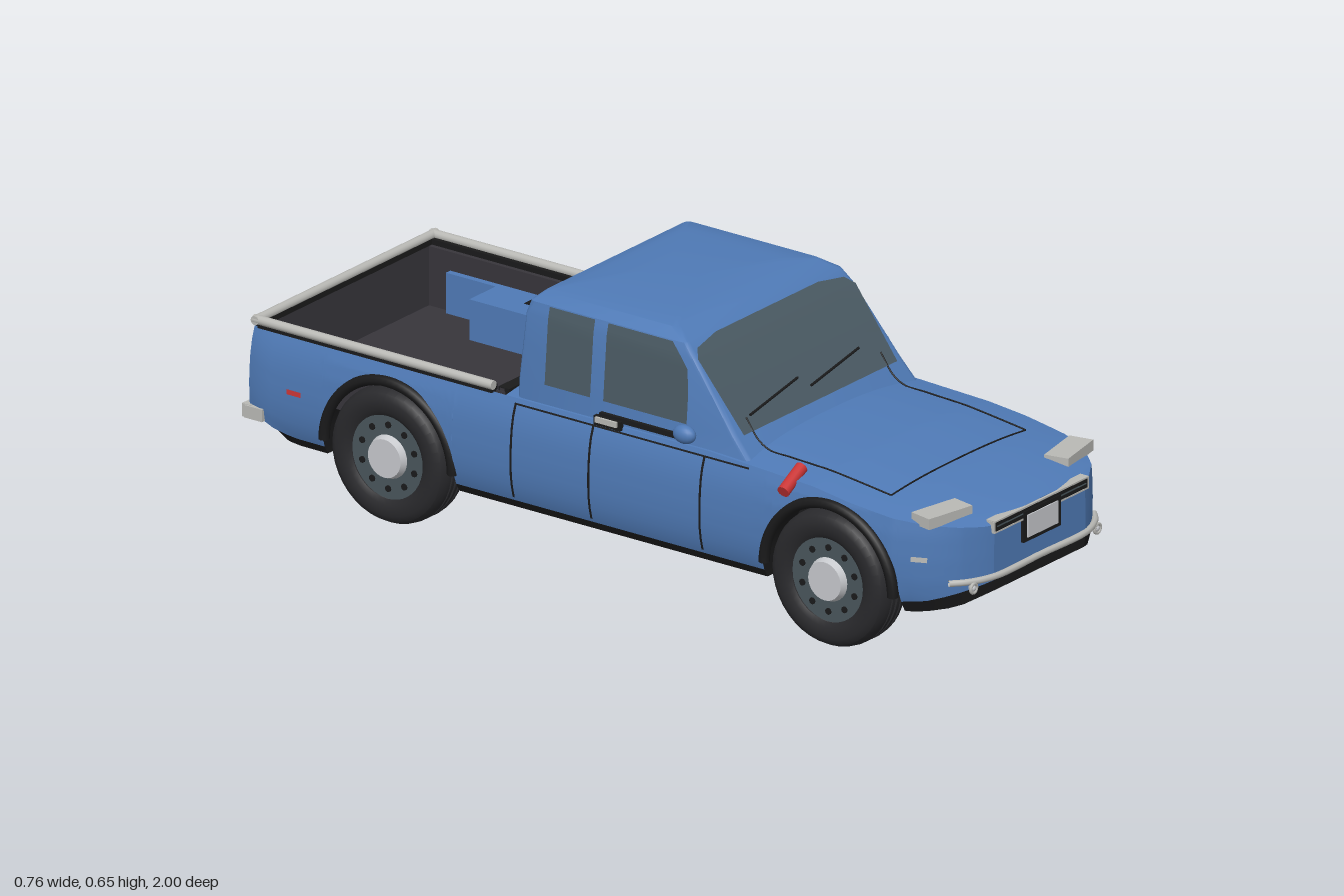
import * as THREE from 'three';
import { toCreasedNormals } from 'three/addons/utils/BufferGeometryUtils.js';

const mat = (name, color) => new THREE.MeshStandardMaterial({ name, color, side: THREE.DoubleSide });
const blue = mat('bodyBlue', 0x4f7ab6), glass = mat('glass', 0x4a5a63), black = mat('black', 0x1a1a1b);
const rubber = mat('tyreRubber', 0x29292c), liner = mat('bedLiner', 0x37353b), trim = mat('lightTrim', 0xb9b9b5);
const steel = mat('wheelSteel', 0x49565c), white = mat('plateGrey', 0xc6c8cc), red = mat('red', 0xc93434);

// piecewise linear lookup
function at(t, table) {
  if (t <= table[0][0]) return table[0][1];
  for (let i = 1; i < table.length; i++) {
    const [a, va] = table[i - 1], [b, vb] = table[i];
    if (t <= b) return va + (vb - va) * (t - a) / (b - a);
  }
  return table[table.length - 1][1];
}

// surface through rows of [x, y, z] points
function sheet(rows, crease = 0.6) {
  const n = rows[0].length, index = [];
  for (let i = 0; i < rows.length - 1; i++) for (let j = 0; j < n - 1; j++) {
    const a = i * n + j, b = a + n;
    index.push(a, b, a + 1, b, b + 1, a + 1);
  }
  const g = new THREE.BufferGeometry();
  g.setAttribute('position', new THREE.Float32BufferAttribute(rows.flat(2), 3));
  g.setIndex(index);
  g.computeVertexNormals();
  return toCreasedNormals(g, crease);
}
const steps = (a, b, n) => Array.from({ length: n + 1 }, (_, i) => a + (b - a) * i / n);

// body dimensions along z and y
const ARCH = 0.185, AXLE_Y = 0.163, AXLES = [0.65, -0.59], NOSE = 0.99, TAIL = -0.985;
const widthAt = z => at(z, [[TAIL, .333], [-.95, .342], [-.6, .346], [.7, .346], [.82, .332], [.9, .297], [.95, .25], [.98, .2], [NOSE, .17]]);
const fullness = y => at(y, [[.12, .93], [.16, .975], [.2, .995], [.25, 1], [.31, .99], [.35, .967], [.385, .93]]);
const skinX = (z, y) => widthAt(z) * fullness(y);
const sillAt = z => at(z, [[TAIL, .19], [-.93, .155], [-.87, .14], [.8, .14], [.9, .155], [.97, .18], [NOSE, .19]]);
const floorAt = z => at(z, [[TAIL, .18], [-.88, .12], [.86, .12], [.94, .135], [NOSE, .165]]);
const shoulderAt = z => at(z, [[TAIL, .383], [.3, .385], [.6, .372], [.8, .348], [.95, .33], [NOSE, .322]]);
const crownAt = z => at(z, [[.4, .403], [.6, .394], [.8, .37], [.9, .353], [NOSE, .335]]);
const hoodY = (z, u) => shoulderAt(z) + (crownAt(z) - shoulderAt(z)) * (1 - Math.abs(u) ** 2.5);
const archY = z => {
  for (const c of AXLES) if (Math.abs(z - c) <= ARCH + 1e-6) return AXLE_Y + Math.sqrt(Math.max(0, ARCH ** 2 - (z - c) ** 2));
  return 0;
};

// cabin outline by height
const cabFront = y => at(y, [[.37, .42], [.43, .367], [.585, .245], [.615, .215], [.635, .17], [.643, .12], [.646, .03]]);
const cabBack = y => at(y, [[.37, -.245], [.43, -.245], [.585, -.235], [.615, -.226], [.635, -.205], [.643, -.16], [.646, -.06]]);
const cabHalf = y => at(y, [[.37, .318], [.43, .313], [.585, .3], [.615, .293], [.635, .267], [.643, .19], [.646, 0]]);

export function createModel() {
  const truck = new THREE.Group();
  truck.name = 'pickupTruck';
  const add = (name, geo, material, x = 0, y = 0, z = 0, parent = truck) => {
    const m = new THREE.Mesh(geo, material);
    m.name = name;
    m.position.set(x, y, z);
    parent.add(m);
    return m;
  };
  const box = (name, material, w, h, d, x, y, z) => add(name, new THREE.BoxGeometry(w, h, d), material, x, y, z);
  const tube = (name, material, pts, r) => {
    const path = new THREE.CatmullRomCurve3(pts.map(p => new THREE.Vector3(...p)), false, 'centripetal');
    return add(name, new THREE.TubeGeometry(path, pts.length * 6, r, 8), material);
  };
  const rod = (name, material, a, b, r) => {
    const p = new THREE.Vector3(...a), q = new THREE.Vector3(...b), d = q.clone().sub(p);
    const m = add(name, new THREE.CylinderGeometry(r, r, d.length(), 14), material);
    m.position.copy(p.add(q).multiplyScalar(.5));
    m.quaternion.setFromUnitVectors(new THREE.Vector3(0, 1, 0), d.normalize());
  };
  // thin patch lying on the body side
  const decal = (name, material, s, z0, z1, y0, y1) => add(name, sheet(steps(z0, z1, 4).map(z =>
    steps(y0, y1, 8).map(y => [s * (skinX(z, y) + .003), y, z]))), material);

  // stations along the body, dense around the wheel arches
  const stations = [...steps(TAIL, NOSE, 60), -.27, .95, .98];
  for (const c of AXLES) {
    for (const a of steps(0, Math.PI, 28)) stations.push(c + ARCH * Math.cos(a));
    stations.push(c - ARCH - .001, c + ARCH + .001);
  }
  stations.sort((a, b) => a - b);

  for (const s of [-1, 1]) {
    // side skin with arch cut-outs
    add('bodySide', sheet(stations.map(z => steps(Math.max(sillAt(z), archY(z)), shoulderAt(z), 12)
      .map(y => [s * skinX(z, y), y, z]))), blue);
    // underside with wheel wells
    add('underbody', sheet(stations.map(z => {
      const a = archY(z), y = Math.max(sillAt(z), a), x = skinX(z, y);
      const inner = a ? .235 : x, low = a ? .235 : widthAt(z) * .92;
      return [[s * x, y, z], [s * inner, y, z], [s * low, floorAt(z), z], [0, floorAt(z), z]];
    })), black);
  }
  // hood and deck below the cabin
  const us = steps(-1, 1, 24);
  add('hood', sheet(stations.filter(z => z >= -.271).map(z => us.map(u => [u * skinX(z, shoulderAt(z)), hoodY(z, u), z]))), blue);
  // nose and tailgate
  const cap = (name, z, low, high, material) => add(name, sheet(steps(0, 1, 8).map(v => us.map(u => {
    const y = low + (high(u) - low) * v;
    return [u * skinX(z, y), y, z];
  }))), material);
  cap('nose', NOSE, .19, u => hoodY(NOSE, u), blue);
  cap('frontValance', NOSE, .165, () => .19, black);
  cap('tailgate', TAIL, .18, () => .385, blue);

  // cabin shell from rounded rectangles
  const corners = [[1, 1], [-1, 1], [-1, -1], [1, -1]];
  add('cabin', sheet([.37, .43, .51, .585, .6, .615, .626, .635, .64, .643, .646].map(y => {
    const f = cabFront(y), b = cabBack(y), h = cabHalf(y), r = Math.min(.014, h), ring = [];
    corners.forEach(([sx, sz], i) => steps(i * Math.PI / 2, (i + 1) * Math.PI / 2, 3).forEach(a =>
      ring.push([sx * (h - r) + r * Math.cos(a), y, (sz > 0 ? f - r : b + r) + r * Math.sin(a)])));
    return [...ring, ring[0]];
  }), .5), blue);

  // windows
  const glassHalf = y => at(y, [[.428, .285], [.585, .293], [.602, .272], [.613, .19]]);
  add('windshield', sheet([.428, .5, .585, .594, .602, .608, .613].map(y =>
    steps(-1, 1, 8).map(u => [u * glassHalf(y), y, cabFront(y) + .004]))), glass);
  const rearPane = (name, material, h, y0, y1, out) => add(name, sheet(steps(y0, y1, 10).map((y, i) => {
    const w = h - (i === 0 || i === 10 ? .012 : 0);
    return [[-w, y, cabBack(y) - out], [w, y, cabBack(y) - out]];
  })), material);
  rearPane('rearWindowSeal', black, .212, .45, .596, .003);
  rearPane('rearWindow', glass, .205, .456, .59, .006);
  const ys = [.432, .5, .56, .585, .6, .614];
  for (const s of [-1, 1]) {
    const pane = (name, back, front, out, material, top = 6) => add(name, sheet(ys.slice(0, top).map(y =>
      [[s * (cabHalf(y) + out), y, back], [s * (cabHalf(y) + out), y, front(y)]])), material);
    pane('doorWindow', 0, y => Math.min(.235, cabFront(y) - .035), .004, glass);
    pane('quarterWindow', -.165, () => -.037, .004, glass);

    // panel seams, handles and side markers
    for (const z of [.295, -.018, -.237]) decal('doorSeam', black, s, z - .003, z + .003, .15, .375);
    decal('beltSeam', black, s, -.237, .42, .371, .375);
    decal('frontMarker', trim, s, .865, .9, .25, .262);
    decal('rearMarker', red, s, -.87, -.83, .25, .262);
    box('handleRecess', black, .012, .022, .075, s * .326, .388, .022);
    box('doorHandle', trim, .016, .013, .06, s * .33, .392, .022);

    // mirror
    add('mirror', new THREE.SphereGeometry(.02, 18, 12), blue, s * .36, .428, .262).scale.set(.95, 1.1, 1.5);
    rod('mirrorStem', blue, [s * .31, .42, .24], [s * .35, .415, .26], .006);

    // lamps
    box('headlight', trim, .13, .026, .06, s * .236, .347, .893).rotation.y = s * .2;
    add('fogLamp', new THREE.TorusGeometry(.011, .004, 8, 16), trim, s * .23, .186, .978);
    add('fogLampLens', new THREE.SphereGeometry(.009, 12, 8), white, s * .23, .186, .974);

    // hood seam running up the windshield, and wipers
    const seam = steps(.76, .42, 6).map(z => [s * .25, hoodY(z, s * .25 / skinX(z, shoulderAt(z))) + .002, z]);
    tube('hoodSeam', black, [...seam, [s * .25, .41, .387], [s * .25, .456, .352]], .002);
    const x0 = s < 0 ? -.237 : -.01;
    rod('wiper', black, [x0, .458, cabFront(.458) + .009], [x0 + .2, .481, cabFront(.481) + .009], .003);

    // bed sides, rails and wheel boxes
    box('bedWall', liner, .016, .15, .68, s * .304, .31, -.62);
    box('railBase', black, .022, .016, .66, s * .318, .39, -.635);
    rod('bedRail', trim, [s * .328, .402, -.3], [s * .328, .402, -.974], .011);
    box('wheelBox', blue, .12, .1, .32, s * .242, .29, -.595);
    box('bedSidePanel', blue, .02, .1, .15, s * .29, .29, -.82);

    // rear bumper ends and exhausts
    box('bumperEnd', trim, .016, .03, .05, s * .337, .18, -.965);
    rod('exhaust', trim, [s * .19, .105, -.91], [s * .19, .105, -.985], .013);
  }
  const front = .76;
  tube('hoodFrontSeam', black, steps(-.25, .25, 8).map(x => [x, hoodY(front, x / skinX(front, shoulderAt(front))) + .001, front]), .002);

  // bed
  box('bedFloor', liner, .62, .012, .69, 0, .236, -.62);
  box('bedFrontWall', liner, .62, .16, .014, 0, .312, -.29);
  box('bedFrontRail', black, .62, .018, .03, 0, .385, -.285);
  box('bedRearWall', liner, .62, .15, .014, 0, .31, -.962);
  box('rearRailBase', black, .64, .016, .02, 0, .39, -.965);
  rod('rearRail', trim, [-.338, .402, -.966], [.338, .402, -.966], .011);
  box('cabinSillStrip', black, .01, .012, .25, -.32, .4, .12);

  // bumpers, grille and plates
  tube('frontBumper', trim, [[-.27, .2, .938], [-.235, .2, .967], [-.17, .2, .992], [0, .2, .992], [.17, .2, .992], [.235, .2, .967], [.27, .2, .938]], .008);
  box('rearBumper', trim, .68, .032, .024, 0, .18, -.988);
  box('grille', black, .34, .022, .02, 0, .319, .985);
  for (const y of [.306, .332]) box('grilleTrim', trim, .35, .004, .024, 0, y, .984);
  for (const s of [-1, 1]) box('grilleTrimEnd', trim, .005, .026, .022, s * .174, .319, .984);
  box('grilleBar', steel, .33, .003, .022, 0, .319, .985);
  for (const [z, s] of [[.991, 1], [-.987, -1]]) {
    box('plateFrame', black, .138, .074, .012, 0, .286, z);
    box('plate', white, .112, .054, .004, 0, .286, z + s * .007);
  }

  // fuel cap and side canister
  box('fuelCap', red, .022, .05, .04, .33, .388, -.17);
  rod('canister', red, [-.36, .355, .54], [-.285, .39, .535], .015);

  // wheels and arch lips
  const half = [[.1, .045], [.112, .053], [.138, .055], [.153, .047], [.161, .032], [.163, .02], [.158, .019], [.158, .015], [.163, .014], [.163, .004], [.158, .003]];
  const tyre = toCreasedNormals(new THREE.LatheGeometry([...half.map(([r, y]) => [r, -y]), ...half.slice().reverse()]
    .map(p => new THREE.Vector2(...p)), 40), .6);
  for (const z of AXLES) for (const s of [-1, 1]) {
    const wheel = new THREE.Group();
    wheel.name = 'wheel';
    wheel.position.set(s * .296, AXLE_Y, z);
    wheel.rotation.z = -s * Math.PI / 2;
    truck.add(wheel);
    add('tyre', tyre, rubber, 0, 0, 0, wheel);
    add('rim', new THREE.CylinderGeometry(.102, .102, .08, 32), steel, 0, 0, 0, wheel);
    add('hubCap', new THREE.CylinderGeometry(.046, .054, .02, 28), white, 0, .046, 0, wheel);
    for (let i = 0; i < 10; i++) {
      const a = i * Math.PI / 5;
      add('rimHole', new THREE.CylinderGeometry(.008, .008, .004, 10), black, .077 * Math.cos(a), .041, .077 * Math.sin(a), wheel);
    }
    const lip = add('archLip', new THREE.TorusGeometry(ARCH - .004, .013, 8, 36, Math.PI), black, s * .337, AXLE_Y, z);
    lip.rotation.y = Math.PI / 2;
  }
  return truck;
}
